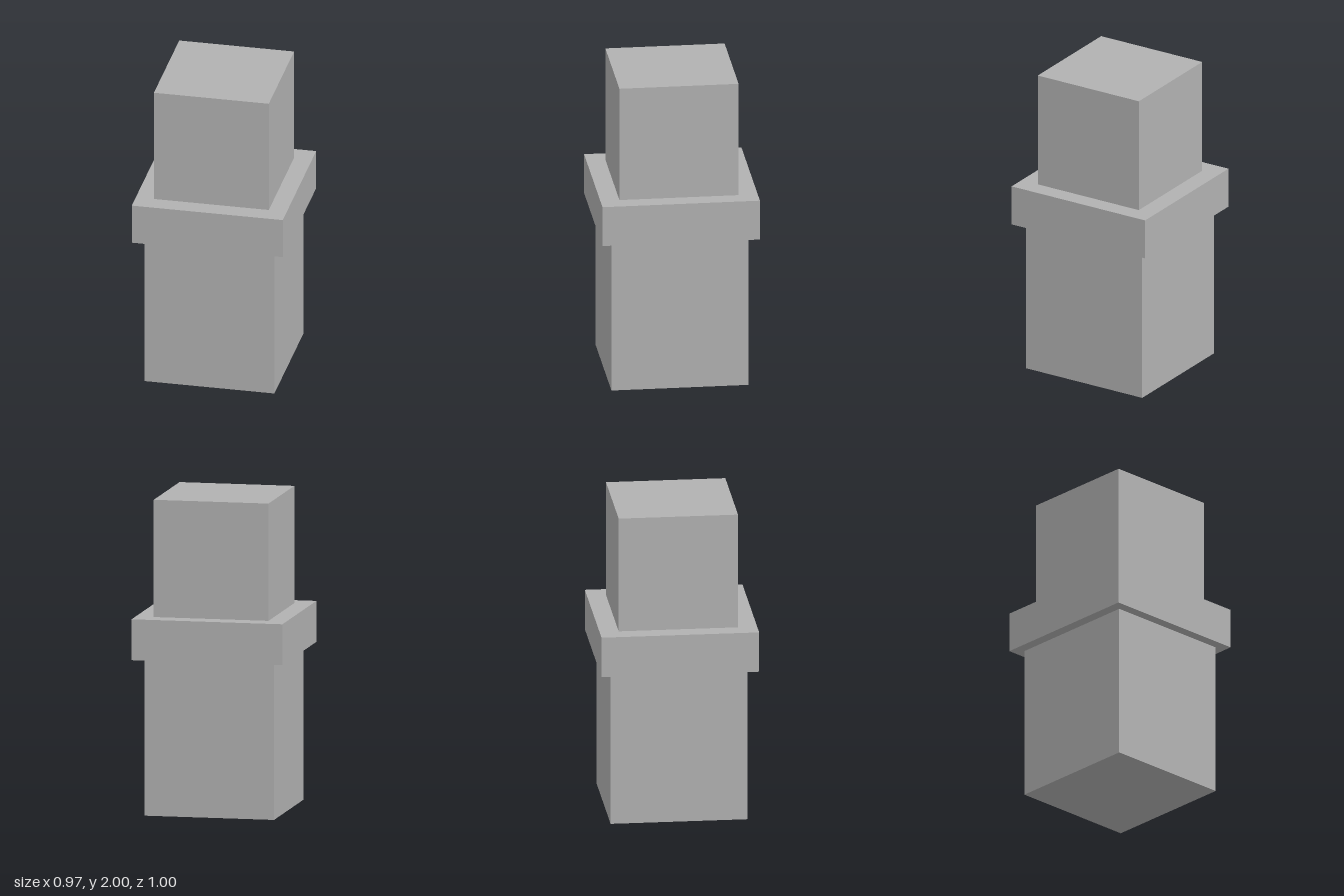
import * as THREE from 'three';

export function createModel() {
  const model = new THREE.Group();
  model.name = 'steppedPillar';

  const stone = new THREE.MeshStandardMaterial({ color: 0xb2b2b2 });
  stone.name = 'light grey';

  // Adds a square-edged block between two heights
  const addBlock = (name, width, depth, bottom, top) => {
    const block = new THREE.Mesh(new THREE.BoxGeometry(width, top - bottom, depth), stone);
    block.name = name;
    block.position.y = (bottom + top) / 2;
    model.add(block);
  };

  // Lower shaft, wide collar and narrower upper shaft
  addBlock('lowerShaft', 0.834, 0.866, 0, 0.995);
  addBlock('collar', 0.97, 0.996, 0.995, 1.255);
  addBlock('upperShaft', 0.738, 0.754, 1.255, 2);

  return model;
}
